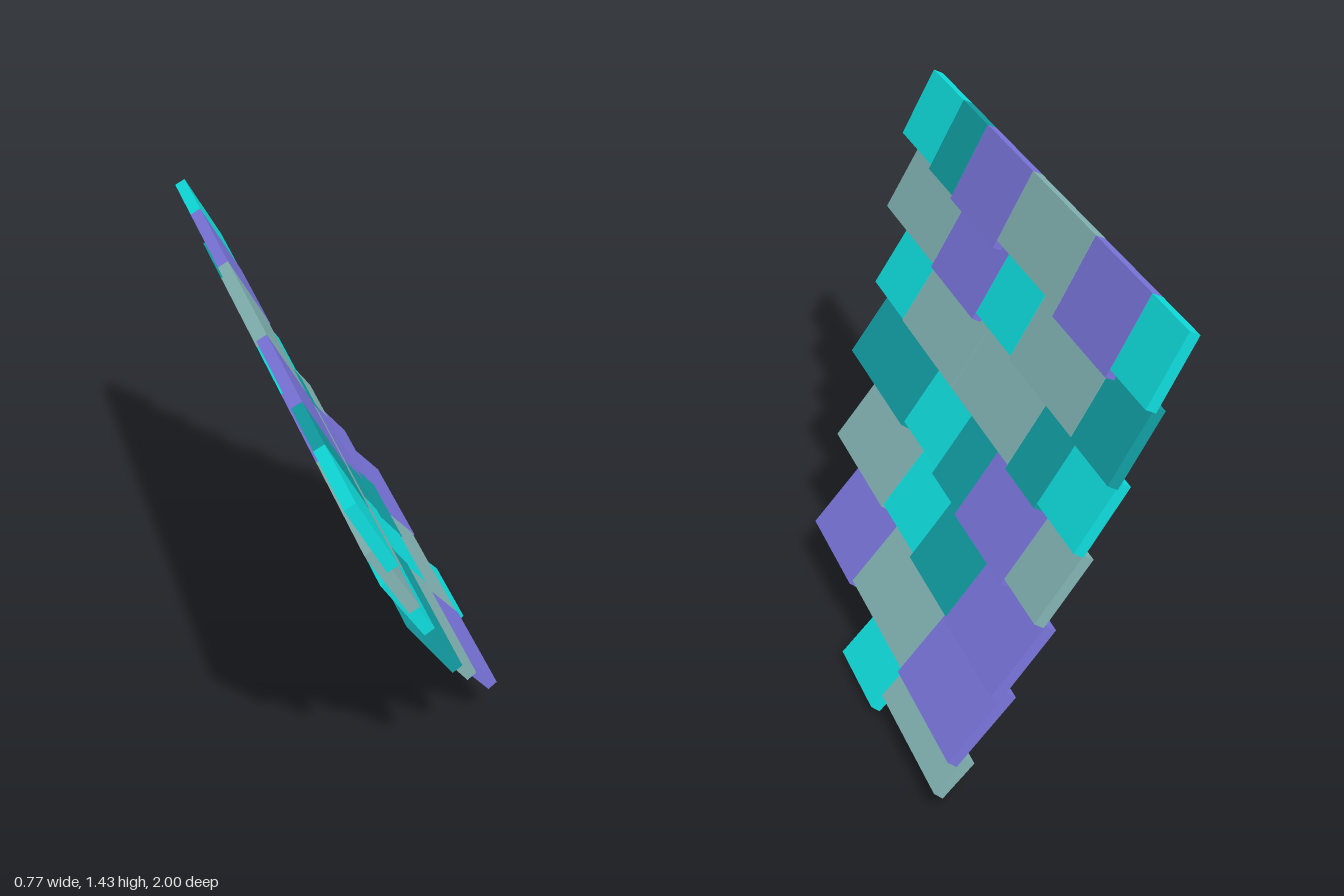
import * as THREE from 'three';

const THICKNESS = 0.036;
const COLORS = { cyan: 0x0fdede, teal: 0x119fa4, purple: 0x7a75dc, grey: 0x83b4b4 };

// Each row: upper edge centre (x, y), slope in degrees, first z edge,
// then tiles as [colour, next z edge, lowest y]
const ROWS = [
  { x: -0.368, y: 1.423, slope: 62, z: 1, tiles: [
    ['cyan', 0.708, 1.199], ['teal', 0.483, 1.186], ['purple', 0.095, 1.175],
    ['grey', -0.384, 1.199], ['purple', -0.767, 1.175], ['cyan', -1, 1.199]] },
  { x: -0.287, y: 1.203, slope: 60, z: 0.904, tiles: [
    ['grey', 0.43, 0.977], ['purple', 0.044, 0.966], ['cyan', -0.25, 0.986],
    ['grey', -0.727, 0.977], ['teal', -0.99, 0.972]] },
  { x: -0.198, y: 0.983, slope: 57, z: 0.754, tiles: [
    ['cyan', 0.462, 0.771], ['grey', -0.018, 0.768], ['grey', -0.497, 0.768],
    ['teal', -0.722, 0.757], ['cyan', -0.99, 0.771]] },
  { x: -0.098, y: 0.768, slope: 54.5, z: 0.684, tiles: [
    ['teal', 0.151, 0.557], ['cyan', -0.149, 0.57], ['teal', -0.374, 0.554],
    ['purple', -0.759, 0.543], ['grey', -0.99, 0.559]] },
  { x: 0.008, y: 0.558, slope: 51.5, z: 0.491, tiles: [
    ['grey', 0.012, 0.353], ['cyan', -0.277, 0.361], ['teal', -0.606, 0.348],
    ['purple', -0.995, 0.34]] },
  { x: 0.125, y: 0.357, slope: 49, z: 0.309, tiles: [
    ['purple', -0.076, 0.142], ['grey', -0.556, 0.153], ['purple', -1, 0.142]] },
  { x: 0.247, y: 0.152, slope: 47, z: -0.229, tiles: [
    ['cyan', -0.524, 0], ['grey', -1, 0.037]] },
];

export function createModel() {
  const roof = new THREE.Group();
  roof.name = 'shingleRoof';
  const materials = {};
  for (const [name, color] of Object.entries(COLORS)) {
    materials[name] = new THREE.MeshStandardMaterial({ color, flatShading: true });
  }

  ROWS.forEach((row, r) => {
    // Row hinged at its upper edge, local +x running down the slope
    const angle = THREE.MathUtils.degToRad(row.slope);
    const group = new THREE.Group();
    group.name = `shingleRow${r + 1}`;
    group.position.set(row.x, row.y, 0);
    group.rotation.z = -angle;

    let z = row.z;
    row.tiles.forEach(([color, nextZ, lowY], i) => {
      // Length that brings the lower back corner down to lowY
      const length = (row.y - (THICKNESS / 2) * Math.cos(angle) - lowY) / Math.sin(angle);
      const shingle = new THREE.Mesh(
        new THREE.BoxGeometry(length, THICKNESS, z - nextZ - 0.002), materials[color]);
      shingle.name = `shingle${r + 1}_${i + 1}`;
      shingle.position.set(length / 2, 0, (z + nextZ) / 2);
      group.add(shingle);
      z = nextZ;
    });
    roof.add(group);
  });
  return roof;
}
